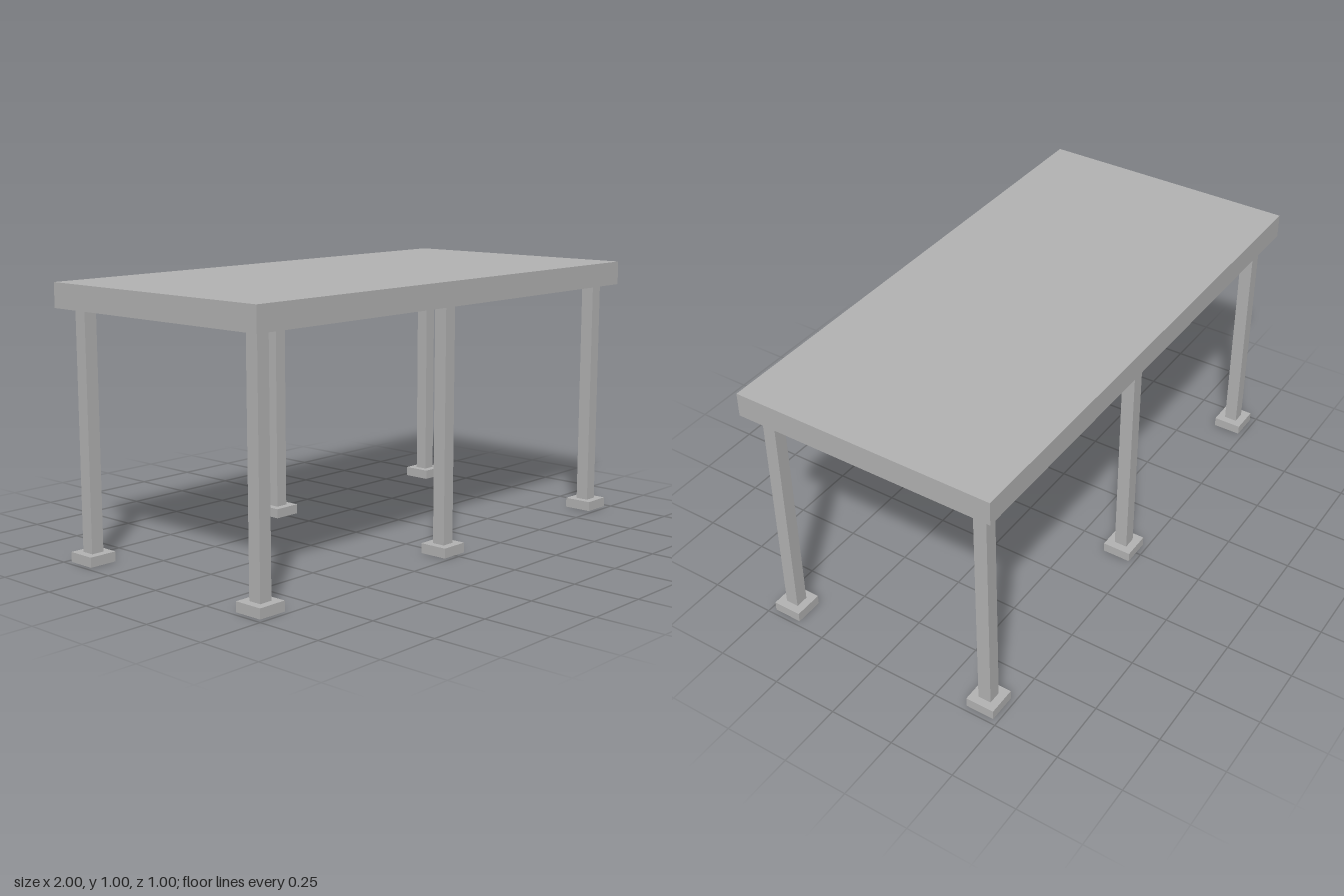
import * as THREE from 'three';

export function createModel() {
  const model = new THREE.Group();
  const grey = new THREE.MeshStandardMaterial({ color: 0xb2b2b2 });
  grey.name = 'plain grey';

  const addBox = (parent, name, [w, h, d], [x, y, z]) => {
    const mesh = new THREE.Mesh(new THREE.BoxGeometry(w, h, d), grey);
    mesh.name = name;
    mesh.position.set(x, y + h / 2, z); // y is the underside
    parent.add(mesh);
  };

  // Top: one solid slab with a shallow recess underneath, framed by a rim
  const slabBottom = 0.96, rimBottom = 0.91, rim = 0.05;
  const rimHeight = slabBottom - rimBottom;
  const top = new THREE.Group();
  top.name = 'tableTop';
  model.add(top);
  addBox(top, 'slab', [2, 1 - slabBottom, 1], [0, slabBottom, 0]);
  for (const s of [-1, 1]) {
    addBox(top, 'longRim', [2, rimHeight, rim], [0, rimBottom, s * (0.5 - rim / 2)]);
    addBox(top, 'shortRim', [rim, rimHeight, 1 - 2 * rim], [s * (1 - rim / 2), rimBottom, 0]);
  }

  // Six square posts, each on a wider foot
  const footHeight = 0.037;
  for (const x of [-0.925, 0, 0.925]) {
    for (const z of [-0.425, 0.425]) {
      const leg = new THREE.Group();
      leg.name = 'leg';
      leg.position.set(x, 0, z);
      addBox(leg, 'foot', [0.11, footHeight, 0.11], [0, 0, 0]);
      addBox(leg, 'post', [0.05, rimBottom - footHeight, 0.05], [0, footHeight, 0]);
      model.add(leg);
    }
  }
  return model;
}
